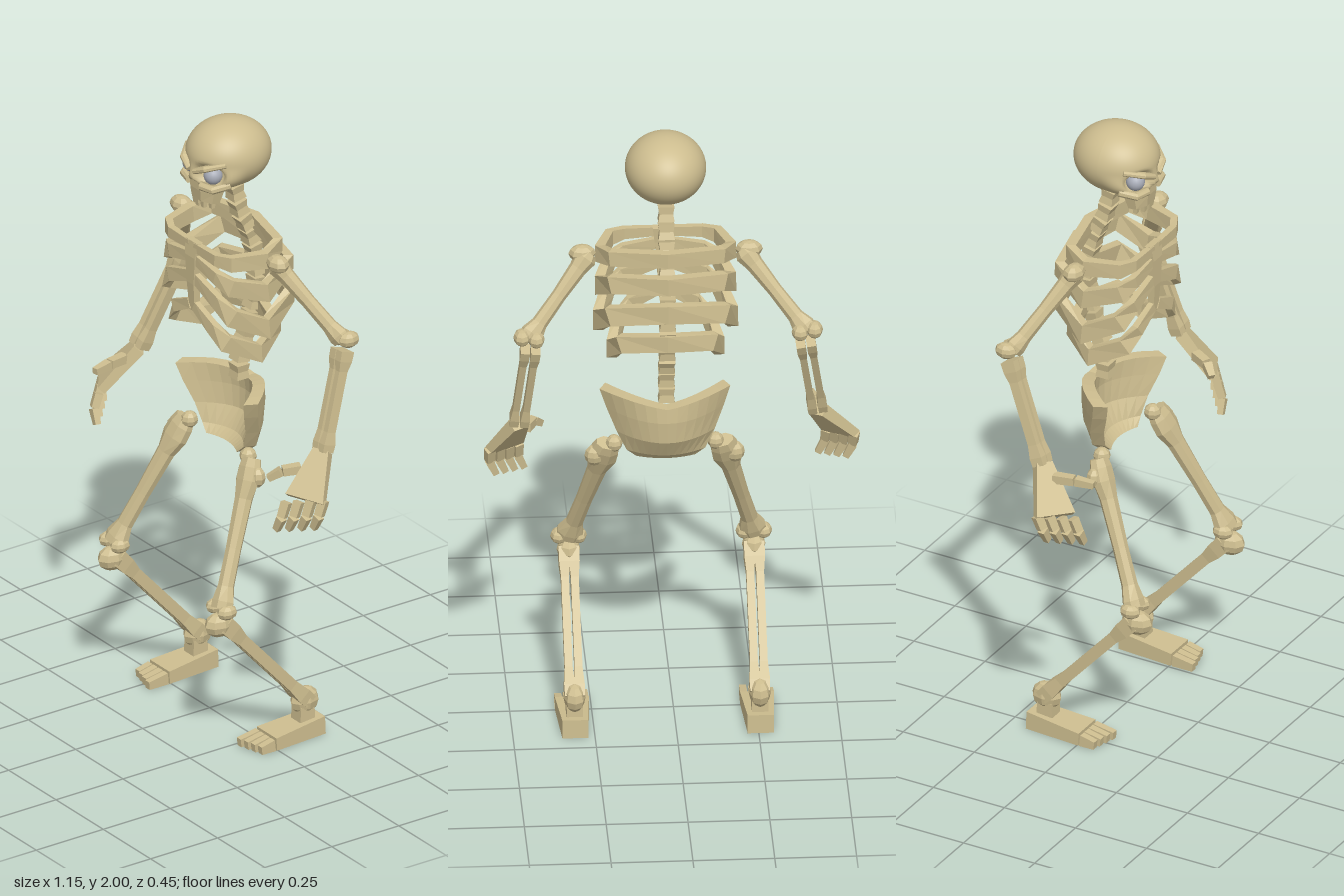
import * as THREE from 'three';

const V = (x, y, z) => new THREE.Vector3(x, y, z);
const X = V(1, 0, 0), Y = V(0, 1, 0), Z = V(0, 0, 1);
const bone = new THREE.MeshStandardMaterial({ color: 0xcdbd8f, flatShading: true });
const smoothBone = new THREE.MeshStandardMaterial({ color: 0xcdbd8f });
const eyeGrey = new THREE.MeshStandardMaterial({ color: 0xa9adb8 });

// Skin a list of rings (even point count) and close both ends with strips.
function loft(rings) {
  const out = [], n = rings[0].length;
  const quad = (a, b, c, d) => [a, b, c, a, c, d].forEach(p => out.push(p.x, p.y, p.z));
  for (let r = 0; r < rings.length - 1; r++) {
    for (let i = 0; i < n; i++) {
      const j = (i + 1) % n;
      quad(rings[r][i], rings[r][j], rings[r + 1][j], rings[r + 1][i]);
    }
  }
  const a = rings[0], b = rings[rings.length - 1];
  for (let i = 0; i < n / 2 - 1; i++) {
    quad(a[n - 1 - i], a[n - 2 - i], a[i + 1], a[i]);
    quad(b[i], b[i + 1], b[n - 2 - i], b[n - 1 - i]);
  }
  const g = new THREE.BufferGeometry();
  g.setAttribute('position', new THREE.Float32BufferAttribute(out, 3));
  g.computeVertexNormals();
  return g;
}

// Sweep a polygon along points; sizes are half width (across ref) and half height.
function sweep(points, sizes, ref = Z, sides = 4) {
  const k = sides === 4 ? Math.SQRT2 : 1.04;
  return loft(points.map((p, i) => {
    const t = points[Math.min(i + 1, points.length - 1)].clone().sub(points[Math.max(i - 1, 0)]).normalize();
    const u = ref.clone().cross(t).normalize(), v = t.clone().cross(u);
    const [w, h] = sizes[i] || sizes[sizes.length - 1];
    return Array.from({ length: sides }, (_, s) => {
      const a = (s + 0.5) / sides * Math.PI * 2;
      return p.clone().addScaledVector(u, Math.cos(a) * w * k).addScaledVector(v, Math.sin(a) * h * k);
    });
  }));
}

function add(parent, name, geometry, material = bone) {
  const m = new THREE.Mesh(geometry, material);
  m.name = name;
  parent.add(m);
  return m;
}

// Straight bone between a and b; profile rows are [position 0..1, half width, half depth].
function longBone(parent, name, a, b, profile, ref = Z, sides = 8) {
  add(parent, name, sweep(profile.map(p => a.clone().lerp(b, p[0])), profile.map(p => [p[1], p[2]]), ref, sides));
}

function knob(parent, name, p, rx, ry, rz) {
  const m = add(parent, name, new THREE.SphereGeometry(1, 8, 6));
  m.position.copy(p);
  m.scale.set(rx, ry, rz);
}

// Two slim parallel bones with flared ends.
function twinBones(parent, name, a, b, gap, r) {
  const side = Z.clone().cross(b.clone().sub(a)).normalize().multiplyScalar(gap);
  for (const k of [-1, 1]) {
    const d = side.clone().multiplyScalar(k);
    longBone(parent, name, a.clone().add(d), b.clone().add(d),
      [[0, r * 1.1, r * 1.8], [0.1, r * 1.1, r * 1.7], [0.2, r * 0.8, r * 1.2], [0.8, r * 0.8, r * 1.2], [0.92, r * 1.1, r * 1.6], [1, r, r * 1.5]], Z, 4);
  }
}

function buildSkull(root) {
  const skull = new THREE.Group();
  skull.name = 'skull';
  root.add(skull);
  // Cranium: ellipsoid with wide cheeks, eye sockets and a nose hollow
  const g = new THREE.SphereGeometry(1, 64, 48), pos = g.attributes.position;
  const ss = THREE.MathUtils.smoothstep;
  const dent = (x, y, cx, cy, rx, ry) => Math.exp(-Math.pow(((x - cx) / rx) ** 2 + ((y - cy) / ry) ** 2, 2));
  for (let i = 0; i < pos.count; i++) {
    const nx = pos.getX(i), ny = pos.getY(i), nz = pos.getZ(i);
    const low = ss(-ny, 0, 0.75) * ss(nz, 0, 0.5);
    const x = nx * 0.124 * (1 + 0.22 * low), y = 1.892 + ny * 0.108;
    let z = -0.05 + nz * (nz > 0 ? 0.135 : 0.137) * (1 + 0.3 * low);
    if (nz > 0.1) {
      z -= 0.05 * dent(Math.abs(x), y, 0.056, 1.856, 0.038, 0.031);
      z -= 0.03 * dent(x, y, 0, 1.812, 0.015, 0.02);
    }
    pos.setXYZ(i, x, y, z);
  }
  g.computeVertexNormals();
  add(skull, 'cranium', g, smoothBone);
  // Upper jaw and teeth
  add(skull, 'upperJaw', sweep([V(0, 1.825, 0.025), V(0, 1.79, 0.03), V(0, 1.755, 0.035)],
    [[0.075, 0.05], [0.066, 0.045], [0.058, 0.035]], Z, 8));
  for (let i = -2; i <= 2; i++) {
    const c = V(i * 0.021, 0, 0.06 - i * i * 0.005);
    add(skull, 'tooth', sweep([V(c.x, 1.765, c.z), V(c.x, 1.737, c.z)], [[0.009, 0.009], [0.007, 0.006]]));
  }
  for (const s of [-1, 1]) {
    // Eye, slanted brow and cheekbone
    const eye = add(skull, 'eye', new THREE.SphereGeometry(0.029, 20, 14), eyeGrey);
    eye.position.set(s * 0.056, 1.855, 0.046);
    add(skull, 'brow', sweep([V(s * 0.012, 1.862, 0.083), V(s * 0.055, 1.883, 0.074), V(s * 0.1, 1.9, 0.028)],
      [[0.013, 0.009], [0.014, 0.01], [0.01, 0.008]], Y, 8), smoothBone);
    add(skull, 'cheekbone', sweep([V(s * 0.03, 1.815, 0.075), V(s * 0.075, 1.815, 0.06), V(s * 0.105, 1.83, 0.015)],
      [[0.01, 0.012], [0.014, 0.012], [0.008, 0.012]], Y, 8), smoothBone);
  }
}

function buildTorso(root) {
  // Spine of separate vertebrae
  const spine = new THREE.CatmullRomCurve3([V(0, 1.77, -0.07), V(0, 1.68, -0.09), V(0, 1.6, -0.125),
    V(0, 1.45, -0.155), V(0, 1.3, -0.13), V(0, 1.2, -0.095), V(0, 1.1, -0.09)]);
  for (let i = 0; i < 12; i++) {
    const a = spine.getPointAt(i / 12), b = spine.getPointAt((i + 0.82) / 12);
    add(root, 'vertebra', sweep([a, a.clone().lerp(b, 0.5), b], [[0.025, 0.023], [0.021, 0.019], [0.025, 0.023]]));
  }
  add(root, 'sternum', sweep([V(0, 1.62, 0.075), V(0, 1.57, 0.08), V(0, 1.48, 0.08), V(0, 1.385, 0.075)],
    [[0.032, 0.012], [0.026, 0.013], [0.018, 0.012], [0.014, 0.01]]));
  // Ribs: width, back z, heights at spine, back corner, side, front corner, sternum
  const ribs = [
    [1, -0.15, 1.625, 1.62, 1.6, 1.6, 1.605, 0.024],
    [1, -0.19, 1.555, 1.55, 1.49, 1.52, 1.565, 0.028],
    [1.03, -0.19, 1.46, 1.44, 1.37, 1.42, 1.5, 0.03],
    [0.82, -0.165, 1.345, 1.33, 1.27, 1.32, 1.405, 0.027],
  ];
  for (const [w, zb, y0, y1, y2, y3, y4, h] of ribs) {
    const half = [V(0.17 * w, y1, zb + 0.035), V(0.2 * w, y2, -0.05), V(0.165 * w, y3, 0.055),
      V(0.12 * w, (y3 + y4) / 2, 0.077), V(0.012, y4, 0.08)];
    const mirror = half.map(p => V(-p.x, p.y, p.z)).reverse();
    const s = [[0.009, h * 0.6], [0.011, h * 0.75], [0.013, h], [0.016, h * 1.1], [0.015, h]];
    add(root, 'ribPair', sweep([...mirror, V(0, y0, zb), ...half], [...s, [0.015, h], ...s.slice().reverse()], Y));
  }
  // Pelvis: curved shield, hollow toward the front
  const rows = [[0.905, 0.09, -0.085, 0.02], [0.93, 0.12, -0.115, 0.045], [0.99, 0.15, -0.15, 0.09],
    [1.06, 0.18, -0.155, 0.12], [1.11, 0.2, -0.15, 0.13]];
  add(root, 'pelvis', loft(rows.map(([y, w, z, bow], r) => {
    const arc = (k, dz) => Array.from({ length: 13 }, (_, i) => {
      const u = 1 - i / 6, lift = r === 4 ? 0.015 * Math.sin(Math.abs(u) * Math.PI * 0.75) - 0.005 : 0;
      return V(u * w * k, y + lift, z + bow * u * u + dz);
    });
    return [...arc(1, 0), ...arc(0.9, 0.04).reverse()];
  })));
}

function buildArm(root, s) {
  const arm = new THREE.Group();
  arm.name = s > 0 ? 'leftArm' : 'rightArm';
  root.add(arm);
  const shoulder = V(s * 0.235, 1.605, -0.055), elbow = V(s * 0.425, 1.38, -0.175);
  longBone(arm, 'upperArm', shoulder, elbow, [[0, 0.025, 0.025], [0.06, 0.035, 0.032], [0.18, 0.027, 0.026],
    [0.5, 0.022, 0.022], [0.82, 0.024, 0.023], [0.94, 0.036, 0.028], [1, 0.034, 0.026]]);
  knob(arm, 'shoulderKnob', V(s * 0.255, 1.605, -0.055), 0.042, 0.028, 0.032);
  for (const k of [-1, 1]) knob(arm, 'elbowKnob', V(s * (0.425 + k * 0.022), 1.385 + k * 0.004, -0.185), 0.026, 0.026, 0.036);
  // Hand poses differ: wrist, outer and inner knuckle, finger joints, thumb
  const pose = s > 0
    ? { wrist: V(0.45, 1.04, -0.085), a: V(0.535, 0.925, -0.03), b: V(0.445, 0.905, 0.045),
      d1: V(0, -0.05, 0.018), d2: V(-0.02, -0.045, 0.005), thumb: [V(0.425, 0.99, -0.02), V(0.4, 0.985, 0.035), V(0.375, 0.96, 0.065)] }
    : { wrist: V(-0.465, 1.04, -0.045), a: V(-0.58, 0.93, 0), b: V(-0.5, 0.905, 0.08),
      d1: V(0.003, -0.045, 0.018), d2: V(0.022, -0.045, 0.005), thumb: [V(-0.475, 1.01, 0.0), V(-0.462, 1.012, 0.07), V(-0.452, 1.008, 0.128)] };
  twinBones(arm, 'forearm', V(s * 0.42, 1.345, -0.18), pose.wrist, 0.016, 0.013);
  const mid = pose.a.clone().lerp(pose.b, 0.5), across = pose.b.clone().sub(pose.a);
  const ref = mid.clone().sub(pose.wrist).cross(across);
  add(arm, 'palm', sweep([pose.wrist, mid], [[0.026, 0.02], [0.064, 0.014]], ref));
  for (let i = 0; i < 4; i++) {
    const k = pose.a.clone().lerp(pose.b, i / 3).addScaledVector(pose.d1, 0.08);
    const m = k.clone().add(pose.d1), e = m.clone().add(pose.d2);
    longBone(arm, 'fingerBase', k, m, [[0, 0.014, 0.013], [0.92, 0.013, 0.012]], ref, 4);
    longBone(arm, 'fingerTip', m, e, [[0, 0.013, 0.012], [1, 0.01, 0.009]], ref, 4);
  }
  longBone(arm, 'thumbBase', pose.thumb[0], pose.thumb[1], [[0, 0.015, 0.014], [0.93, 0.014, 0.013]], Y, 4);
  longBone(arm, 'thumbTip', pose.thumb[1], pose.thumb[2], [[0, 0.014, 0.013], [1, 0.01, 0.01]], Y, 4);
}

function buildLeg(root, s) {
  const leg = new THREE.Group();
  leg.name = s > 0 ? 'leftLeg' : 'rightLeg';
  root.add(leg);
  const x = s * 0.283;
  // Thigh with hip head and outer flare
  longBone(leg, 'thigh', V(s * 0.175, 0.925, -0.015), V(x, 0.51, 0.175), [[0, 0.035, 0.025], [0.06, 0.043, 0.03],
    [0.15, 0.046, 0.03], [0.27, 0.03, 0.026], [0.6, 0.025, 0.023], [0.85, 0.026, 0.024], [0.95, 0.042, 0.03], [1, 0.04, 0.03]]);
  knob(leg, 'hipHead', V(s * 0.155, 0.925, -0.015), 0.026, 0.027, 0.028);
  knob(leg, 'hipFlare', V(s * 0.215, 0.88, -0.005), 0.03, 0.034, 0.026);
  for (const k of [-1, 1]) knob(leg, 'kneeKnob', V(x + k * 0.03, 0.51, 0.175), 0.026, 0.024, 0.034);
  // Shin pair with rounded ends
  twinBones(leg, 'shin', V(x, 0.465, 0.175), V(x, 0.115, -0.14), 0.015, 0.015);
  knob(leg, 'shinHead', V(x, 0.46, 0.182), 0.036, 0.04, 0.052);
  knob(leg, 'ankle', V(x, 0.115, -0.135), 0.034, 0.045, 0.05);
  longBone(leg, 'heelPost', V(x, 0.1, -0.13), V(x, 0.045, -0.13), [[0, 0.025, 0.025], [1, 0.025, 0.028]], Z, 4);
  // Wedge foot and four toes
  add(leg, 'foot', sweep([V(x, 0.03, -0.185), V(x, 0.021, 0.005)], [[0.04, 0.03], [0.052, 0.021]], Y));
  for (let i = 0; i < 4; i++) {
    const tx = x + (i - 1.5) * 0.027, end = 0.08 - 0.007 * (s > 0 ? i : 3 - i);
    add(leg, 'toe', sweep([V(tx, 0.019, 0.01), V(tx, 0.013, end)], [[0.0115, 0.019], [0.0105, 0.013]], Y));
  }
}

export function createModel() {
  const model = new THREE.Group();
  model.name = 'skeleton';
  const body = new THREE.Group();
  body.name = 'body';
  body.position.x = 0.027;
  model.add(body);
  buildSkull(body);
  buildTorso(body);
  for (const s of [-1, 1]) {
    buildArm(body, s);
    buildLeg(body, s);
  }
  return model;
}
